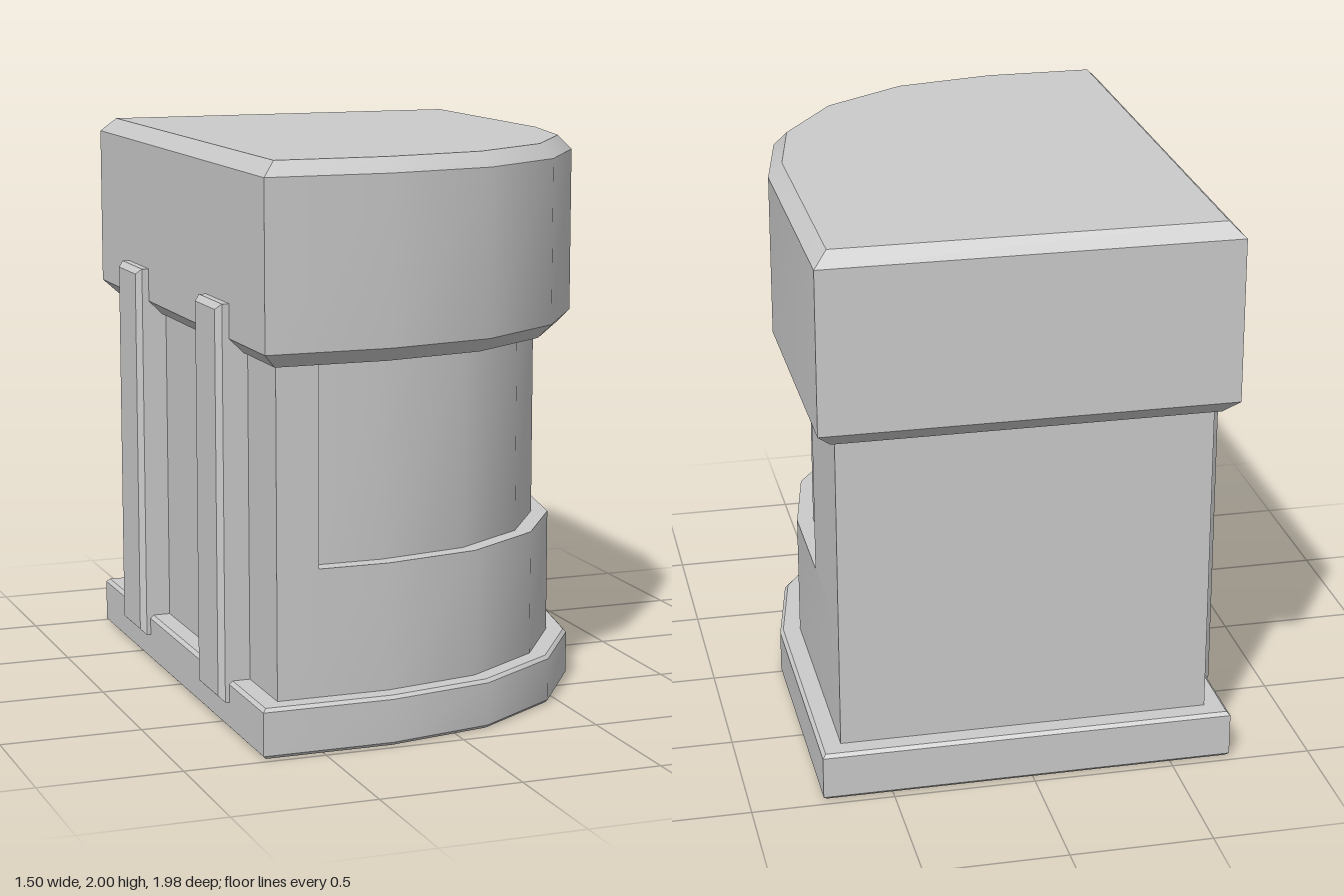
import * as THREE from 'three';
import { toCreasedNormals } from 'three/addons/utils/BufferGeometryUtils.js';

const grey = new THREE.MeshStandardMaterial({ color: 0xcccccc });
const CREASE = 0.5;

// Quarter arc in plan, from the +x side round to the +z front
function arc(cx, rx, rz, steps = 4) {
  return Array.from({ length: steps + 1 }, (_, i) => {
    const a = (i / steps) * Math.PI / 2;
    return [cx + rx * Math.cos(a), rz * Math.sin(a)];
  });
}

// Plan outline: a rectangle with one large rounded corner, inset by d
function outline(x0, x1, z0, z1, cx, d = 0) {
  return [
    [x0 + d, z0 + d], [x1 - d, z0 + d],
    ...arc(cx, x1 - d - cx, z1 - d),
    [x0 + d, z1 - d],
  ];
}

// Closed solid through matching plan outlines, given as [height, points]
function loft(sections) {
  const n = sections[0][1].length;
  const pos = sections.flatMap(([y, pts]) => pts.flatMap(([x, z]) => [x, y, z]));
  const index = [];
  for (let s = 0; s < sections.length - 1; s++) {
    for (let i = 0; i < n; i++) {
      const a = s * n + i, b = s * n + (i + 1) % n;
      index.push(a, a + n, b, b, a + n, b + n);
    }
  }
  const flat = sections[0][1].map(([x, z]) => new THREE.Vector2(x, z));
  const top = (sections.length - 1) * n;
  for (const [a, b, c] of THREE.ShapeUtils.triangulateShape(flat, [])) {
    index.push(a, b, c, top + a, top + c, top + b);
  }
  const g = new THREE.BufferGeometry();
  g.setAttribute('position', new THREE.Float32BufferAttribute(pos, 3));
  g.setIndex(index);
  return toCreasedNormals(g, CREASE);
}

export function createModel() {
  const model = new THREE.Group();
  model.name = 'roundedKiosk';
  const add = (name, geometry) => {
    const mesh = new THREE.Mesh(geometry, grey);
    mesh.name = name;
    model.add(mesh);
    return mesh;
  };

  // Plinth with fine chamfers
  const plinth = d => outline(-0.715, 0.745, -0.975, 0.98, -0.25, d);
  add('plinth', loft([
    [0, plinth(0.012)], [0.012, plinth(0)], [0.163, plinth(0)], [0.175, plinth(0.012)],
  ]));

  // Lower wall, full outline
  const wall = outline(-0.64, 0.67, -0.9, 0.905, -0.24);
  add('lowerWall', loft([[0.17, wall], [0.62, wall]]));

  // Upper wall, with the wraparound window recess cut into its plan
  const recessed = [
    [-0.64, -0.9], [0.67, -0.9], [0.67, -0.42], [0.61, -0.412],
    ...arc(-0.24, 0.85, 0.845),
    [-0.485, 0.845], [-0.49, 0.905], [-0.64, 0.905],
  ];
  add('upperWall', loft([[0.62, recessed], [1.33, recessed]]));

  // Heavy roof block, chamfered above and below
  const roof = d => outline(-0.705, 0.74, -0.99, 0.99, -0.26, d);
  add('roof', loft([
    [1.32, roof(0.05)], [1.37, roof(0)], [1.95, roof(0)], [2, roof(0.05)],
  ]));

  // Two upright strips on the flat side, lofted outwards and turned to face -x
  const strip = d => [
    [0.1 + d, -0.13 + d], [1.49 - d, -0.13 + d],
    [1.49 - d, 0.13 - d], [0.1 + d, 0.13 - d],
  ];
  const stripGeometry = loft([[0.63, strip(0)], [0.73, strip(0)], [0.75, strip(0.02)]]);
  stripGeometry.rotateZ(Math.PI / 2);
  for (const side of [-1, 1]) {
    add(side < 0 ? 'backStrip' : 'frontStrip', stripGeometry).position.z = side * 0.482;
  }

  return model;
}
